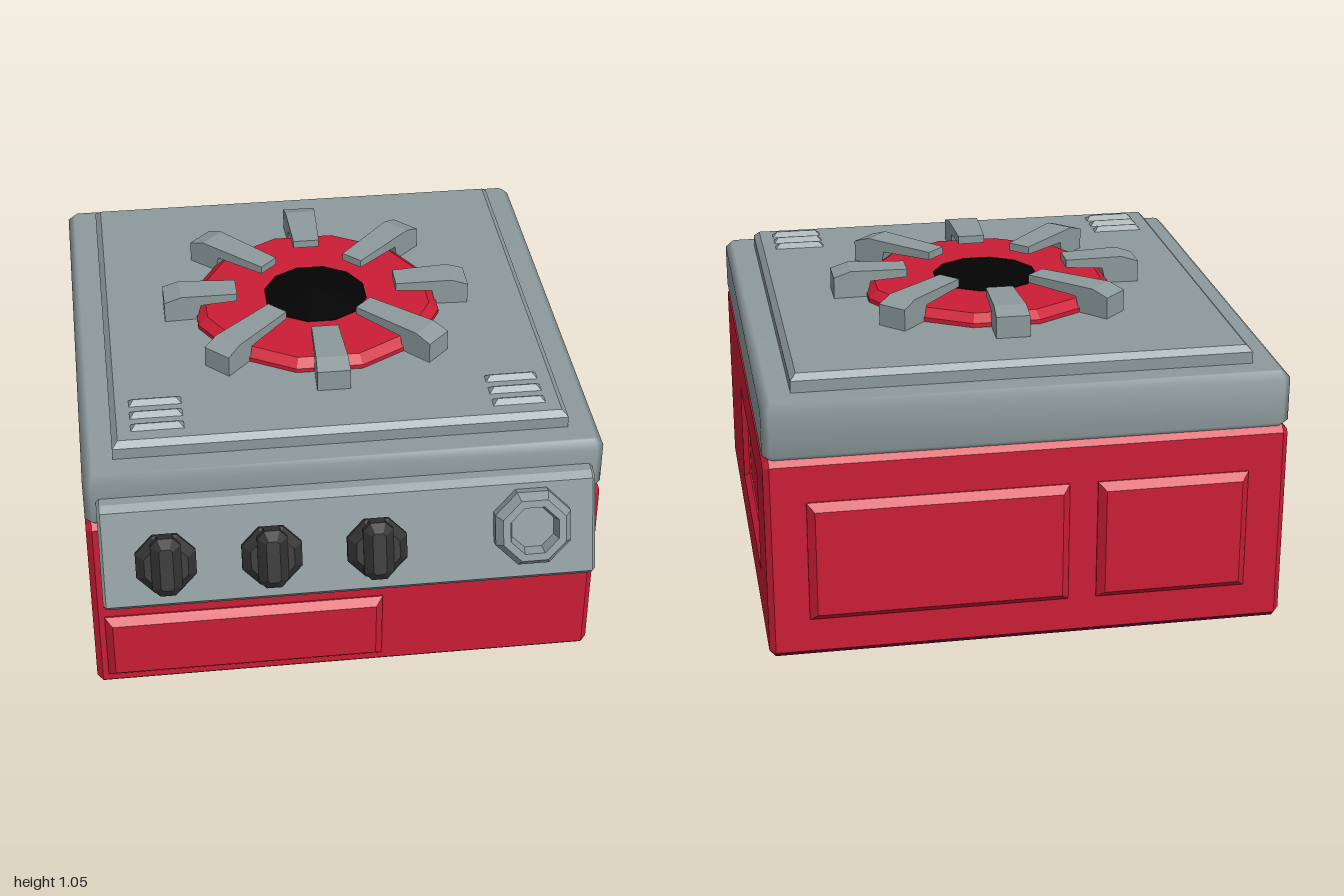
import * as THREE from 'three';
import { mergeVertices } from 'three/addons/utils/BufferGeometryUtils.js';

const paint = (name, color) => {
  const m = new THREE.MeshStandardMaterial({ color });
  m.name = name;
  return m;
};

const CZ = -0.1; // centre of the body in z
const TILT = 0.317; // lean of the control face

// Faceted normals
function flat(geo) {
  const g = geo.index ? geo.toNonIndexed() : geo;
  g.computeVertexNormals();
  return g;
}

// Softened bevels, broad faces stay nearly flat
function soft(geo) {
  geo.deleteAttribute('normal');
  geo.deleteAttribute('uv');
  const g = mergeVertices(geo, 1e-4);
  g.computeVertexNormals();
  return g;
}

// Second material for the downward faces along the very bottom
function splitUnderside(geo) {
  const p = geo.attributes.position;
  const n = geo.attributes.normal;
  geo.clearGroups();
  for (let i = 0; i < p.count; i += 3) {
    const low = Math.max(p.getY(i), p.getY(i + 1), p.getY(i + 2)) < 0.05;
    geo.addGroup(i, 3, low && n.getY(i) < -0.5 ? 1 : 0);
  }
  return geo;
}

const poly = (pts) => new THREE.Shape(pts.map(([x, y]) => new THREE.Vector2(x, y)));
const rect = (x0, x1, y0, y1) => poly([[x0, y0], [x1, y0], [x1, y1], [x0, y1]]);

// Rectangle with cut corners
function cutRect(x0, x1, y0, y1, c) {
  return poly([[x0 + c, y0], [x1 - c, y0], [x1, y0 + c], [x1, y1 - c],
    [x1 - c, y1], [x0 + c, y1], [x0, y1 - c], [x0, y0 + c]]);
}

// Extrusion along z from 0 to depth, chamfered inward at both ends
function slab(shape, depth, bevel) {
  const g = new THREE.ExtrudeGeometry(shape, {
    depth: depth - 2 * bevel, bevelEnabled: bevel > 0, bevelSegments: 1,
    bevelSize: bevel, bevelThickness: bevel, bevelOffset: -bevel,
  });
  return g.translate(0, 0, bevel);
}

export function createModel() {
  const red = paint('red enamel', 0xcb1d35);
  const plum = paint('plum underside', 0x860a42);
  const grey = paint('grey metal', 0x8d9a9c);
  const dark = paint('dark knob', 0x303030);
  const black = paint('black burner', 0x030303);

  const model = new THREE.Group();
  model.name = 'campStove';
  const add = (name, geo, mat, parent = model) => {
    const mesh = new THREE.Mesh(geo, mat);
    mesh.name = name;
    parent.add(mesh);
    return mesh;
  };

  // Body core between the two side walls
  const core = slab(cutRect(-0.77, 0.97, 0, 0.71, 0.022), 1.69, 0);
  core.translate(0, 0, -0.845).rotateY(Math.PI / 2);
  add('body', splitUnderside(core), [red, plum]);

  // Side walls, each with a sunken panel
  for (const s of [1, -1]) {
    const us = [-s * 0.77, s * 0.97].sort((a, b) => a - b);
    const hole = [-s * 0.11, s * 0.635].sort((a, b) => a - b);
    const wall = cutRect(us[0], us[1], 0, 0.71, 0.022);
    wall.holes.push(rect(hole[0], hole[1], 0.195, 0.51));
    const g = slab(wall, 0.06, 0.02).translate(0, 0, 0.81).rotateY(s * Math.PI / 2);
    add(s > 0 ? 'leftWall' : 'rightWall', splitUnderside(g), [red, plum]);
  }

  // Raised front drawer and rear panels
  const drawer = slab(rect(-0.83, 0.13, 0.05, 0.31), 0.08, 0.025);
  add('frontDrawer', drawer.translate(0, 0, 0.72), red);
  for (const [x0, x1] of [[-0.735, -0.225], [-0.13, 0.735]]) {
    const g = slab(rect(-x1, -x0, 0.14, 0.56), 0.08, 0.025);
    add('rearPanel', g.translate(0, 0, 0.92).rotateY(Math.PI), red);
  }

  // Lid and top plate
  const lid = slab(cutRect(-0.87, 0.87, -0.87, 0.87, 0.025), 0.2, 0.025);
  add('lid', soft(lid).rotateX(-Math.PI / 2).translate(0, 0.7, CZ), grey);
  const plate = slab(rect(-0.765, 0.765, -0.765, 0.765), 0.08, 0.02);
  add('topPlate', plate.rotateX(-Math.PI / 2).translate(0, 0.88, CZ), grey);

  // Vent ridges with hipped ends
  for (const x of [-0.61, 0.61]) {
    for (const z of [0.44, 0.51, 0.58]) {
      const g = slab(rect(-0.09, 0.09, -0.02, 0.02), 0.04, 0.018);
      add('ventRidge', g.rotateX(-Math.PI / 2), grey).position.set(x, 0.937, z);
    }
  }

  // Burner
  const lathe = (pts, n) => flat(new THREE.LatheGeometry(
    pts.map(([r, y]) => new THREE.Vector2(r, y)), n, Math.PI / n));
  const burner = new THREE.Group();
  burner.name = 'burner';
  burner.position.z = CZ - 0.005;
  model.add(burner);
  add('burnerRing', lathe([[0.445, 0.95], [0.445, 0.975], [0.41, 1.0], [0.18, 1.0]], 12), red, burner);
  add('burnerCap', lathe([[0.186, 0.99], [0.186, 1.002], [0, 1.03]], 12), black, burner);

  // Pot supports, the diagonal ones reaching further in
  for (let i = 0; i < 8; i++) {
    const inner = i % 2 ? 0.215 : 0.285;
    const w = i % 2 ? 0.108 : 0.115;
    const arm = slab(poly([[0.43, 0.955], [0.545, 0.955], [0.545, 1.035], [0.485, 1.055],
      [inner, 1.05], [inner, 1.022], [0.415, 1.015]]), w, 0).translate(0, 0, -w / 2);
    const p = arm.attributes.position;
    for (let k = 0; k < p.count; k++) {
      p.setZ(k, p.getZ(k) * (1 - 0.7 * (0.545 - p.getX(k))));
    }
    add('potSupport', flat(arm), grey, burner).rotation.y = i * Math.PI / 4;
  }

  // Leaning control panel
  const panel = slab(poly([[-0.74, 0.82], [-0.805, 0.82], [-0.832, 0.805], [-0.935, 0.49],
    [-0.918, 0.468], [-0.74, 0.45]]), 1.66, 0.01);
  add('controlPanel', panel.translate(0, 0, -0.83).rotateY(Math.PI / 2), grey);

  // Group sitting on the control face, its z pointing outward
  const onFace = (name, x, y) => {
    const g = new THREE.Group();
    g.name = name;
    g.position.set(x, y, 0.935 - (y - 0.49) * 0.328);
    g.rotation.x = -TILT;
    model.add(g);
    return g;
  };

  // Knobs with a tapered grip bar
  for (const x of [-0.615, -0.265, 0.085]) {
    const knob = onFace('knob', x, 0.638);
    add('knobBase', lathe([[0.09, -0.01], [0.108, 0.02], [0.108, 0.035], [0.078, 0.065], [0, 0.065]], 8)
      .rotateX(Math.PI / 2), dark, knob);
    const grip = slab(cutRect(-0.05, 0.05, -0.1, 0.1, 0.025), 0.097, 0.028);
    add('knobGrip', grip, dark, knob);
  }

  // Large octagonal socket
  const socket = onFace('socket', 0.61, 0.665);
  add('socketRing', lathe([[0.138, -0.01], [0.138, 0.035], [0.115, 0.065], [0.088, 0.065],
    [0.076, 0.025], [0, 0.025]], 8).rotateX(Math.PI / 2), grey, socket);

  return model;
}
